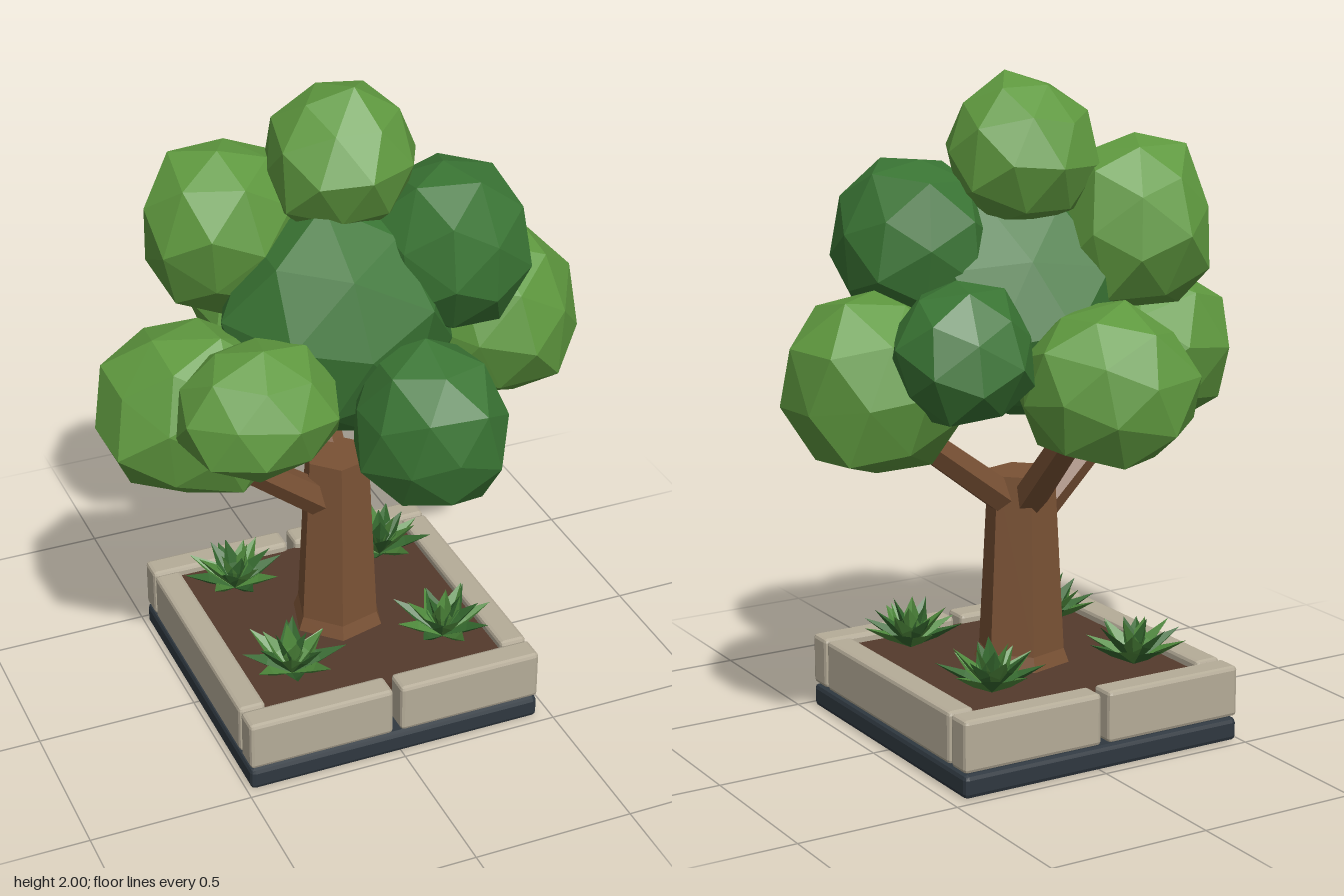
import * as THREE from 'three';
import { RoundedBoxGeometry } from 'three/addons/geometries/RoundedBoxGeometry.js';
import { ConvexGeometry } from 'three/addons/geometries/ConvexGeometry.js';

const mat = (color, side = THREE.FrontSide) =>
  new THREE.MeshStandardMaterial({ color, side, flatShading: true });

const slate = mat(0x2f3840);
const stone = mat(0xb5ac98);
const earth = mat(0x543a2c);
const bark = mat(0x7a5235);
const lightLeaf = mat(0x5f993f);
const darkLeaf = mat(0x3a7534);
const lightBlade = mat(0x4f8a3c, THREE.DoubleSide);
const darkBlade = mat(0x35692f, THREE.DoubleSide);

const CX = -0.015; // planter and trunk axis

function add(parent, name, geometry, material, x = 0, y = 0, z = 0) {
  const mesh = new THREE.Mesh(geometry, material);
  mesh.name = name;
  mesh.position.set(x, y, z);
  parent.add(mesh);
  return mesh;
}

// Box with chamfered edges, given by its centre and size
function block(parent, name, material, [x, y, z], [w, h, d], bevel = 0.012) {
  return add(parent, name, new RoundedBoxGeometry(w, h, d, 1, bevel), material, x, y, z);
}

// Irregular faceted ball with a flat underside, filling the box between two corners
function foliage(parent, name, material, min, max, seed) {
  const turn = new THREE.Euler(seed * 0.37, seed * 0.9, seed * 0.23);
  const points = [];
  for (const g of [new THREE.DodecahedronGeometry(1), new THREE.IcosahedronGeometry(1).rotateY(Math.PI / 2)]) {
    const pos = g.attributes.position;
    for (let i = 0; i < pos.count; i++) {
      const p = new THREE.Vector3().fromBufferAttribute(pos, i);
      const wobble = Math.sin(p.x * 12.3 + p.y * 7.1 + p.z * 4.7 + seed * 2.1);
      p.multiplyScalar(1 + 0.06 * wobble).applyEuler(turn);
      p.y = Math.max(p.y, -0.82);
      points.push(p);
    }
  }
  const from = new THREE.Box3().setFromPoints(points);
  const size = from.getSize(new THREE.Vector3());
  const lo = new THREE.Vector3(...min);
  const span = new THREE.Vector3(...max).sub(lo);
  for (const p of points) p.sub(from.min).divide(size).multiply(span).add(lo);
  return add(parent, name, new ConvexGeometry(points), material);
}

// Tapered six-sided limb between two points
function branch(parent, name, a, b, r0, r1) {
  const start = new THREE.Vector3(...a);
  const dir = new THREE.Vector3(...b).sub(start);
  const geometry = new THREE.CylinderGeometry(r1, r0, dir.length(), 6);
  const mesh = add(parent, name, geometry, bark);
  mesh.position.copy(start).addScaledVector(dir, 0.5);
  mesh.quaternion.setFromUnitVectors(new THREE.Vector3(0, 1, 0), dir.normalize());
}

// Pointed blade along +z, folded along its midrib
function bladeGeometry(length, width) {
  const g = new THREE.BufferGeometry();
  g.setAttribute('position', new THREE.Float32BufferAttribute([
    0, 0, 0, width / 2, 0.014, length * 0.5, 0, -0.006, length * 0.5,
    -width / 2, 0.014, length * 0.5, 0, 0, length,
  ], 3));
  g.setIndex([0, 2, 1, 0, 3, 2, 2, 4, 1, 3, 4, 2]);
  g.computeVertexNormals();
  return g;
}

// Rosette of blades: low outer ring, steeper inner rings
function plant(parent, x, z, spin) {
  const group = new THREE.Group();
  group.name = 'plant';
  group.position.set(x, 0.215, z);
  group.rotation.y = spin;
  const rings = [[8, 0.19, 0.5, 0], [6, 0.175, 0.85, 0.4], [4, 0.165, 1.25, 0.2]];
  rings.forEach(([count, length, lift, offset], r) => {
    for (let i = 0; i < count; i++) {
      const scale = 1 - 0.1 * ((i * 2 + r) % 3) / 2;
      const blade = add(group, 'blade', bladeGeometry(length * scale, 0.065),
        (i + r) % 2 ? lightBlade : darkBlade);
      blade.rotation.set(-lift, offset + i * 2 * Math.PI / count, 0, 'YXZ');
    }
  });
  parent.add(group);
}

export function createModel() {
  const model = new THREE.Group();
  model.name = 'plantedTree';

  // Planter: plinth, soil and kerb stones
  const planter = new THREE.Group();
  planter.name = 'planter';
  planter.position.x = CX;
  model.add(planter);
  block(planter, 'plinth', slate, [0, 0.036, 0], [0.945, 0.072, 0.945], 0.015);
  add(planter, 'soil', new THREE.BoxGeometry(0.79, 0.04, 0.79), earth, 0, 0.187, 0);
  for (const s of [-1, 1]) {
    for (const t of [-1, 1]) {
      block(planter, 'kerbStone', stone, [t * 0.2425, 0.156, s * 0.43], [0.46, 0.158, 0.085]);
    }
    block(planter, 'sideKerbStone', stone, [s * 0.43, 0.156, 0], [0.085, 0.158, 0.76]);
  }
  [[-1, -1], [-1, 1], [1, -1], [1, 1]].forEach(([sx, sz], i) =>
    plant(planter, sx * 0.25, sz * 0.245, i * 1.3));

  // Trunk with flared foot, and three limbs
  const profile = [[0, 0.19], [0.155, 0.19], [0.133, 0.25], [0.104, 0.8], [0, 0.8]]
    .map(([r, y]) => new THREE.Vector2(r, y));
  add(model, 'trunk', new THREE.LatheGeometry(profile, 6, -Math.PI / 12), bark, CX);
  branch(model, 'leftBranch', [0.0, 0.69, 0], [0.45, 1.02, -0.06], 0.055, 0.045);
  branch(model, 'rightBranch', [-0.04, 0.63, 0.01], [-0.46, 0.97, 0.08], 0.055, 0.045);
  branch(model, 'backBranch', [-0.01, 0.7, -0.03], [0.03, 1.06, -0.42], 0.055, 0.045);

  // Crown of leaf clumps: material, lower corner, upper corner
  const crown = new THREE.Group();
  crown.name = 'crown';
  model.add(crown);
  const clumps = [
    ['topClump', lightLeaf, [-0.2, 1.56, -0.27], [0.23, 2.0, 0.2]],
    ['upperRightClump', lightLeaf, [-0.54, 1.31, -0.4], [-0.06, 1.81, 0.07]],
    ['upperLeftClump', darkLeaf, [0.04, 1.27, -0.14], [0.52, 1.75, 0.35]],
    ['centreClump', darkLeaf, [-0.4, 0.98, -0.33], [0.33, 1.68, 0.37]],
    ['rightClump', lightLeaf, [-0.78, 0.88, -0.17], [-0.2, 1.37, 0.32]],
    ['frontRightClump', lightLeaf, [-0.62, 1.04, 0.1], [-0.16, 1.41, 0.53]],
    ['frontClump', darkLeaf, [-0.14, 0.9, 0.19], [0.3, 1.37, 0.665]],
    ['leftClump', lightLeaf, [0.26, 0.9, -0.36], [0.775, 1.4, 0.2]],
    ['backLeftClump', darkLeaf, [0.17, 1.07, -0.52], [0.59, 1.46, -0.12]],
    ['backClump', lightLeaf, [-0.32, 0.93, -0.665], [0.21, 1.38, -0.16]],
  ];
  clumps.forEach(([name, material, min, max], i) =>
    foliage(crown, name, material, min, max, i + 1));

  return model;
}
